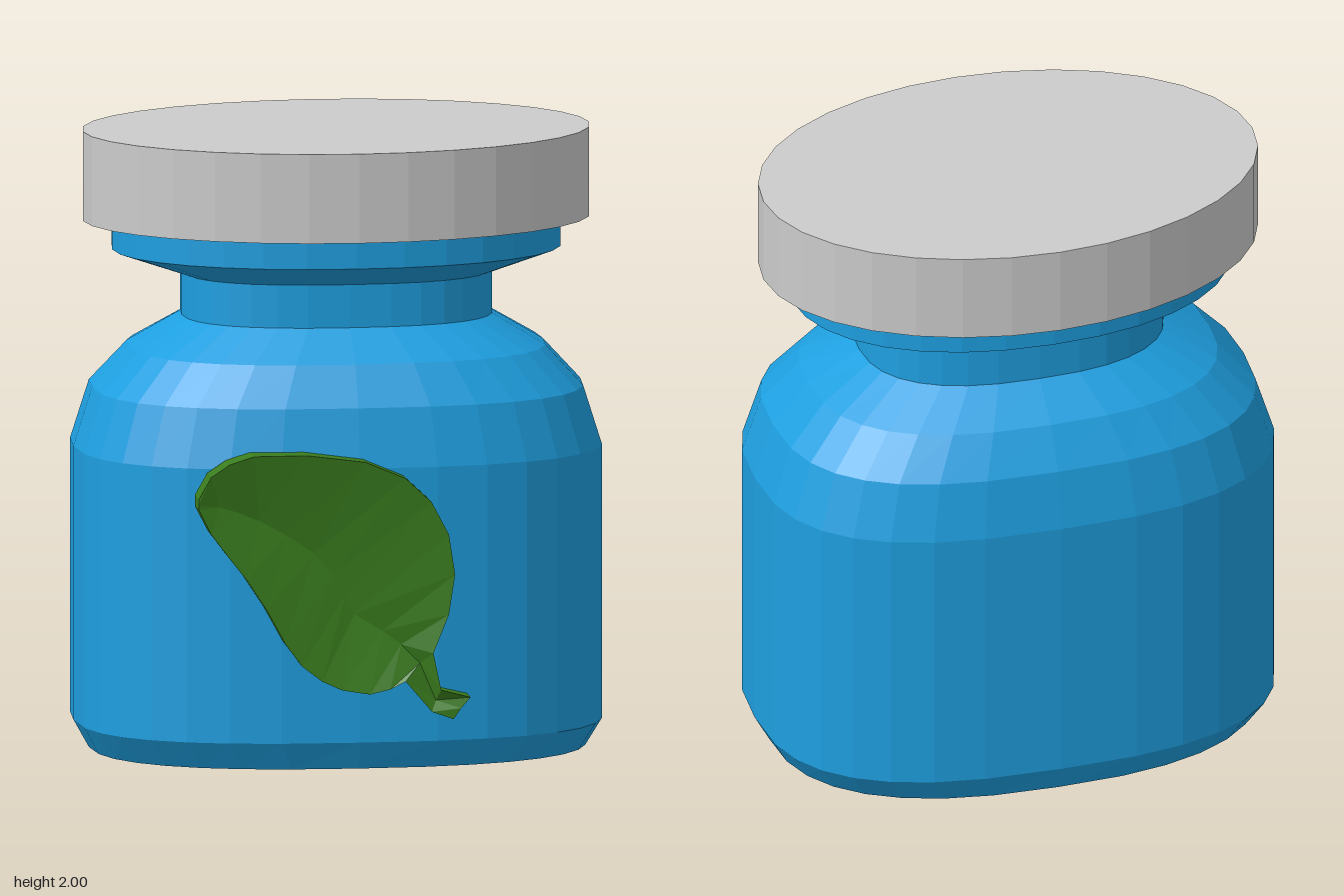
import * as THREE from 'three';

const SIDES = 32;
const CENTER_Z = -0.03;

// Four corners, counter-clockwise from outside, as two triangles
const quad = (out, a, b, c, d) => out.push(...a, ...b, ...c, ...a, ...c, ...d);

function meshFrom(name, positions, color) {
  const geometry = new THREE.BufferGeometry();
  geometry.setAttribute('position', new THREE.Float32BufferAttribute(positions, 3));
  geometry.computeVertexNormals();
  const material = new THREE.MeshStandardMaterial({ color, flatShading: true });
  const mesh = new THREE.Mesh(geometry, material);
  mesh.name = name;
  return mesh;
}

// Superelliptic ring: power 2 is an ellipse, higher is squarer
function ring([y, rx, rz, power]) {
  const bend = (v) => Math.sign(v) * Math.abs(v) ** (2 / power);
  return Array.from({ length: SIDES }, (_, i) => {
    const a = (i / SIDES) * Math.PI * 2;
    return [rx * bend(Math.sin(a)), y, CENTER_Z + rz * bend(Math.cos(a))];
  });
}

// Closed solid through a stack of rings
function loft(name, sections, color) {
  const rings = sections.map(ring);
  const out = [];
  const top = rings[rings.length - 1];
  const bottom = rings[0];
  const topCenter = [0, top[0][1], CENTER_Z];
  const bottomCenter = [0, bottom[0][1], CENTER_Z];
  for (let j = 0; j < SIDES; j++) {
    const k = (j + 1) % SIDES;
    for (let i = 0; i < rings.length - 1; i++) {
      quad(out, rings[i][j], rings[i][k], rings[i + 1][k], rings[i + 1][j]);
    }
    out.push(...topCenter, ...top[j], ...top[k]);
    out.push(...bottomCenter, ...bottom[k], ...bottom[j]);
  }
  return meshFrom(name, out, color);
}

// Raised leaf: two blades folded inward along a midrib, ending in a stem
function leaf() {
  const front = 0.63, back = 0.53;
  const upper = [[-0.53, 0.9], [-0.49, 0.97], [-0.43, 1.01], [-0.35, 1.035], [-0.18, 1.035],
    [0.01, 1.01], [0.14, 0.955], [0.225, 0.875], [0.28, 0.77], [0.3, 0.64], [0.28, 0.51],
    [0.23, 0.385], [0.255, 0.265], [0.35, 0.24]];
  const lower = [[-0.53, 0.865], [-0.49, 0.785], [-0.43, 0.705], [-0.375, 0.635], [-0.31, 0.535],
    [-0.25, 0.425], [-0.195, 0.35], [-0.13, 0.3], [-0.065, 0.27], [0.025, 0.255], [0.09, 0.27],
    [0.14, 0.295], [0.225, 0.195], [0.295, 0.17]];
  const rib = [[-0.53, 0.88, 0.63], [-0.46, 0.87, 0.61], [-0.4, 0.85, 0.6], [-0.33, 0.82, 0.59],
    [-0.24, 0.77, 0.585], [-0.15, 0.71, 0.58], [-0.09, 0.64, 0.58], [-0.05, 0.57, 0.58],
    [-0.02, 0.51, 0.58], [0.07, 0.455, 0.585], [0.13, 0.41, 0.59], [0.19, 0.35, 0.6],
    [0.24, 0.23, 0.61], [0.32, 0.205, 0.63]];
  const at = (points, z) => points.map(([x, y]) => [x, y, z]);
  const U = at(upper, front), L = at(lower, front);
  const UB = at(upper, back), LB = at(lower, back);
  const out = [];
  const n = rib.length - 1;
  for (let k = 0; k < n; k++) {
    const m = k + 1;
    quad(out, rib[k], rib[m], U[m], U[k]);
    quad(out, L[k], L[m], rib[m], rib[k]);
    quad(out, U[k], U[m], UB[m], UB[k]);
    quad(out, LB[k], LB[m], L[m], L[k]);
    quad(out, UB[k], UB[m], LB[m], LB[k]);
  }
  quad(out, LB[0], L[0], U[0], UB[0]);
  quad(out, L[n], LB[n], UB[n], U[n]);
  return meshFrom('leafEmblem', out, 0x3a7d1e);
}

export function createModel() {
  const group = new THREE.Group();
  group.name = 'jar';

  // Body with chamfered base, rounded shoulder, narrow neck and flared rim
  group.add(loft('jarBody', [
    [0, 0.8, 0.56, 2.5],
    [0.09, 0.85, 0.6, 2.7],
    [0.98, 0.85, 0.6, 2.7],
    [1.17, 0.79, 0.56, 2.7],
    [1.3, 0.67, 0.48, 2.6],
    [1.4, 0.5, 0.35, 2.5],
    [1.54, 0.5, 0.35, 2.5],
    [1.615, 0.725, 0.51, 2.15],
    [1.715, 0.725, 0.51, 2.15],
  ], 0x1e9fe0));

  // Oval lid
  group.add(loft('lid', [
    [1.71, 0.82, 0.585, 2],
    [2, 0.82, 0.585, 2],
  ], 0xcccccc));

  group.add(leaf());
  return group;
}
